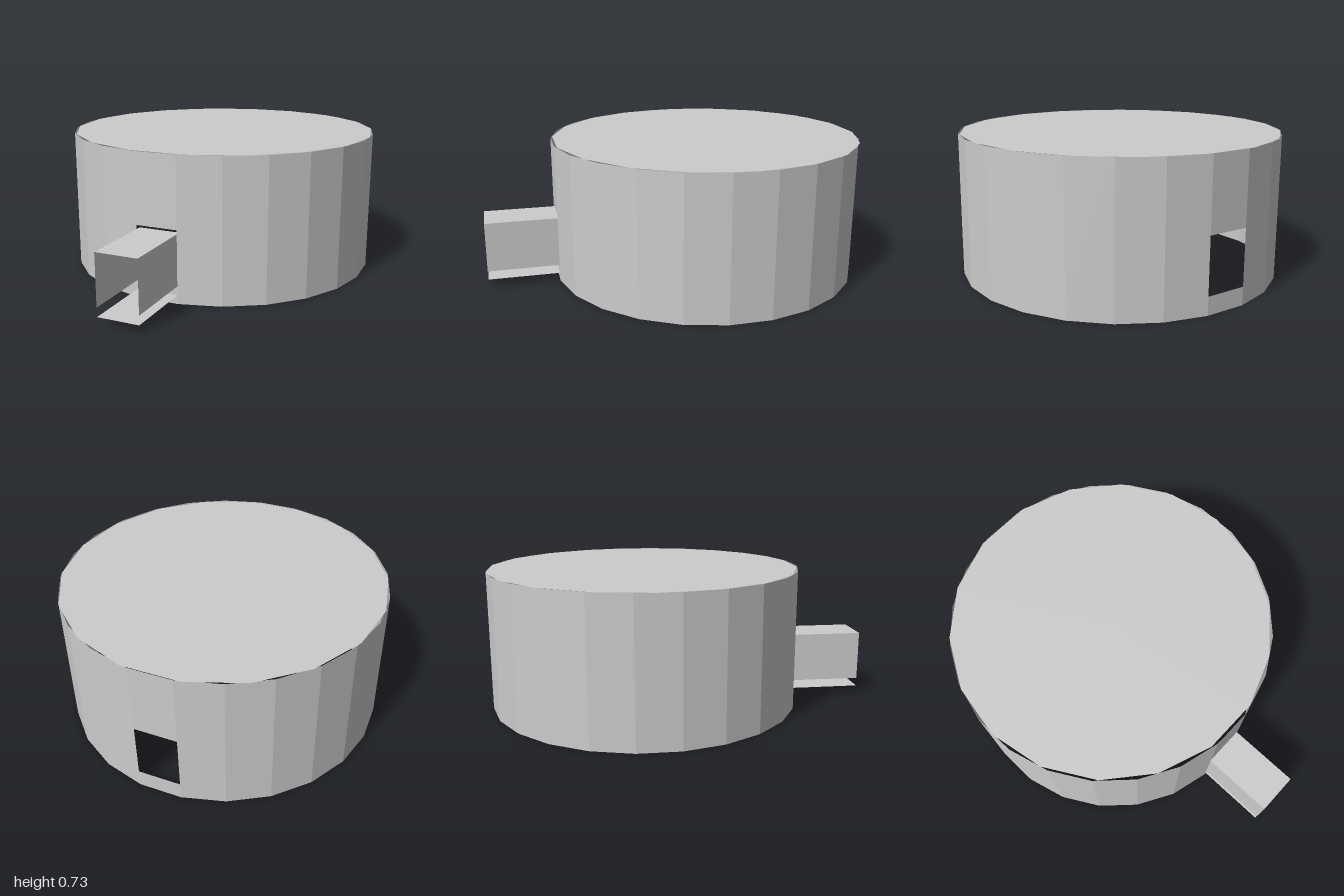
import * as THREE from 'three';

export function createModel() {
  const model = new THREE.Group();
  const grey = new THREE.MeshStandardMaterial({ color: 0xcccccc, side: THREE.DoubleSide });
  grey.name = 'light grey';

  const height = 0.73, sides = 24, apothem = 0.815, centreZ = -0.185;
  const halfWidth = apothem * Math.tan(Math.PI / sides);
  const holeBottom = 0.09, holeTop = 0.37;

  // Open-bottomed ring of flat panels, with openings in the front and back ones
  const wall = new THREE.Group();
  wall.name = 'roundWall';
  wall.position.z = centreZ;
  model.add(wall);

  function addPanel(name, angle, y0, y1) {
    const geometry = new THREE.PlaneGeometry(halfWidth * 2, y1 - y0);
    geometry.translate(0, (y0 + y1) / 2, apothem);
    geometry.rotateY(angle);
    const panel = new THREE.Mesh(geometry, grey);
    panel.name = name;
    wall.add(panel);
  }

  for (let i = 0; i < sides; i++) {
    const angle = (i / sides) * Math.PI * 2;
    if (i % (sides / 2) === 0) {
      addPanel('doorSill', angle, 0, holeBottom);
      addPanel('doorLintel', angle, holeTop, height);
    } else {
      addPanel('wallPanel', angle, 0, height);
    }
  }

  // Flat roof with fewer sides than the wall
  const roofGeometry = new THREE.CircleGeometry(0.82, 18);
  roofGeometry.rotateX(-Math.PI / 2);
  const roof = new THREE.Mesh(roofGeometry, grey);
  roof.name = 'roof';
  roof.position.set(0, height, -0.19);
  model.add(roof);

  // Entrance tunnel of thin sheets; its floor hangs a little below the sides
  const tunnel = new THREE.Group();
  tunnel.name = 'entranceTunnel';
  model.add(tunnel);

  function addSheet(name, width, depth, x, y, back, upright) {
    const geometry = new THREE.PlaneGeometry(width, depth);
    geometry.rotateX(-Math.PI / 2);
    if (upright) geometry.rotateZ(-Math.PI / 2 * upright);
    const sheet = new THREE.Mesh(geometry, grey);
    sheet.name = name;
    sheet.position.set(x, y, back + depth / 2);
    tunnel.add(sheet);
  }

  const sideBottom = 0.09, sideTop = 0.35;
  addSheet('tunnelRoof', halfWidth * 2, 0.4, 0, sideTop, 0.6, 0);
  addSheet('tunnelFloor', halfWidth * 2, 0.43, 0, 0.045, 0.57, 0);
  for (const s of [-1, 1]) {
    addSheet(s > 0 ? 'tunnelLeftSide' : 'tunnelRightSide', sideTop - sideBottom, 0.4,
      s * halfWidth, (sideTop + sideBottom) / 2, 0.6, s);
  }

  return model;
}
